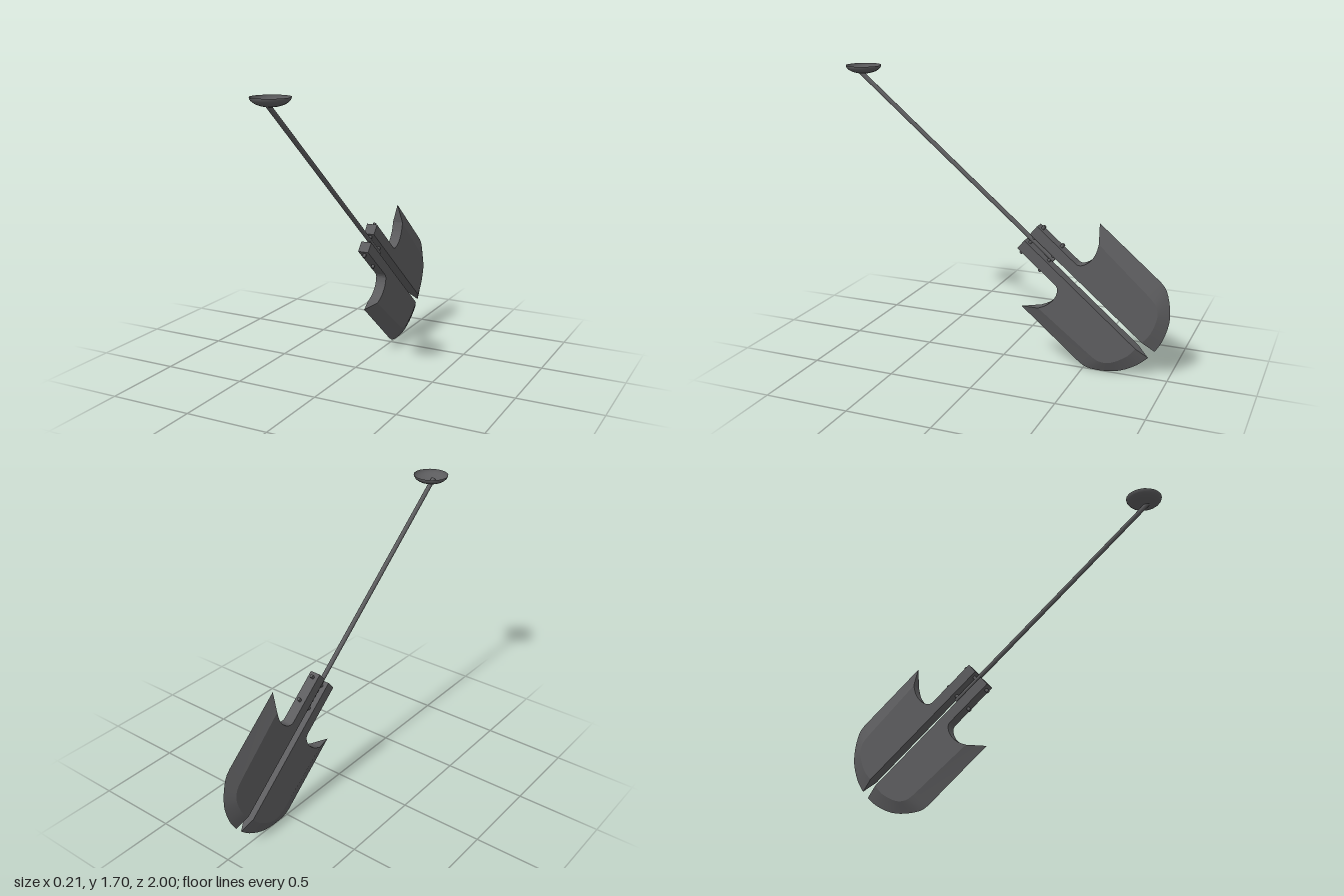
import * as THREE from 'three';

const HALF = 0.033; // half thickness of the blades
const v2 = (p) => new THREE.Vector2(p[0], p[1]);
const spline = (pts, n) => new THREE.SplineCurve(pts.map(v2)).getPoints(n);

// Sharp rim and the edge of the flat face, from the tip round to the rear corner
// (x runs along the shaft towards the tip, y away from it).
const rim = [
  ...spline([[0, 0.028], [-0.014, 0.113], [-0.058, 0.216], [-0.12, 0.29], [-0.198, 0.349], [-0.254, 0.362]], 15),
  v2([-0.724, 0.364]),
];
const flat = [
  ...spline([[-0.088, 0.028], [-0.09, 0.1], [-0.118, 0.184], [-0.15, 0.23], [-0.195, 0.256], [-0.26, 0.263]], 15),
  v2([-0.645, 0.28]),
];
const notch = spline([[-0.645, 0.28], [-0.622, 0.23], [-0.614, 0.18], [-0.62, 0.138], [-0.638, 0.105], [-0.66, 0.094]], 14);

// Flat slab with the concave rear notch and the mounting tab
function slabGeometry() {
  const outline = [...flat, ...notch.slice(1), v2([-0.97, 0.094]), v2([-0.97, 0.027])];
  const geo = new THREE.ExtrudeGeometry(new THREE.Shape(outline), { depth: HALF * 2, bevelEnabled: false });
  return geo.translate(0, 0, -HALF);
}

// Wedge that tapers from the slab to the sharp rim
function edgeGeometry() {
  const pos = [];
  const idx = [];
  const add = (p, z) => pos.push(p.x, p.y, z) / 3 - 1;
  for (const side of [1, -1]) {
    const start = pos.length / 3;
    flat.forEach((f, i) => {
      add(f, side * HALF);
      add(rim[i], 0);
    });
    for (let i = 0; i < flat.length - 1; i++) {
      const a = start + i * 2, b = a + 1, c = a + 3, d = a + 2;
      if (side > 0) idx.push(a, b, c, a, c, d);
      else idx.push(a, c, b, a, d, c);
    }
  }
  // end caps
  const last = flat.length - 1;
  idx.push(add(flat[0], HALF), add(flat[0], -HALF), add(rim[0], 0));
  idx.push(add(flat[last], -HALF), add(flat[last], HALF), add(rim[last], 0));
  const geo = new THREE.BufferGeometry();
  geo.setAttribute('position', new THREE.Float32BufferAttribute(pos, 3));
  geo.setIndex(idx);
  geo.computeVertexNormals();
  return geo;
}

export function createModel() {
  const model = new THREE.Group();
  model.name = 'splitBladeSpade';
  const steel = new THREE.MeshStandardMaterial({ color: 0x5c5c5e, side: THREE.DoubleSide });
  steel.name = 'dark steel';

  const mesh = (name, geo, parent) => {
    const m = new THREE.Mesh(geo, steel);
    m.name = name;
    parent.add(m);
    return m;
  };

  // Tilted frame: x along the shaft, y across the blades, z through their thickness
  const tool = new THREE.Group();
  tool.name = 'tiltedTool';
  const s = 0.64, c = 0.7684;
  tool.quaternion.setFromRotationMatrix(new THREE.Matrix4().makeBasis(
    new THREE.Vector3(0, -s, -c), new THREE.Vector3(0, c, -s), new THREE.Vector3(1, 0, 0)));
  tool.position.set(0, 0.148, -0.903);
  model.add(tool);

  // Two mirrored blade halves with a gap between them
  const slab = slabGeometry();
  const edge = edgeGeometry();
  ['upperBlade', 'lowerBlade'].forEach((name, i) => {
    const blade = new THREE.Group();
    blade.name = name;
    blade.rotation.x = i * Math.PI;
    mesh('bladeSlab', slab, blade);
    mesh('bladeEdge', edge, blade);
    tool.add(blade);
  });

  // Shaft
  const from = -2.378, to = -0.768;
  const shaft = mesh('shaft', new THREE.CylinderGeometry(0.0135, 0.0135, to - from, 12), tool);
  shaft.rotation.z = Math.PI / 2;
  shaft.position.x = (from + to) / 2;

  // Bolts through tabs and shaft
  for (const x of [-0.94, -0.79]) {
    const bolt = mesh('bolt', new THREE.CylinderGeometry(0.01, 0.01, 0.232, 10), tool);
    bolt.position.x = x;
  }

  // Open bowl at the end of the shaft
  const bowl = mesh('bowl', new THREE.SphereGeometry(0.104, 20, 8, 0, Math.PI * 2, Math.PI / 2, Math.PI / 2), model);
  bowl.scale.y = 0.48;
  bowl.position.set(0, 1.705, 0.895);

  return model;
}
